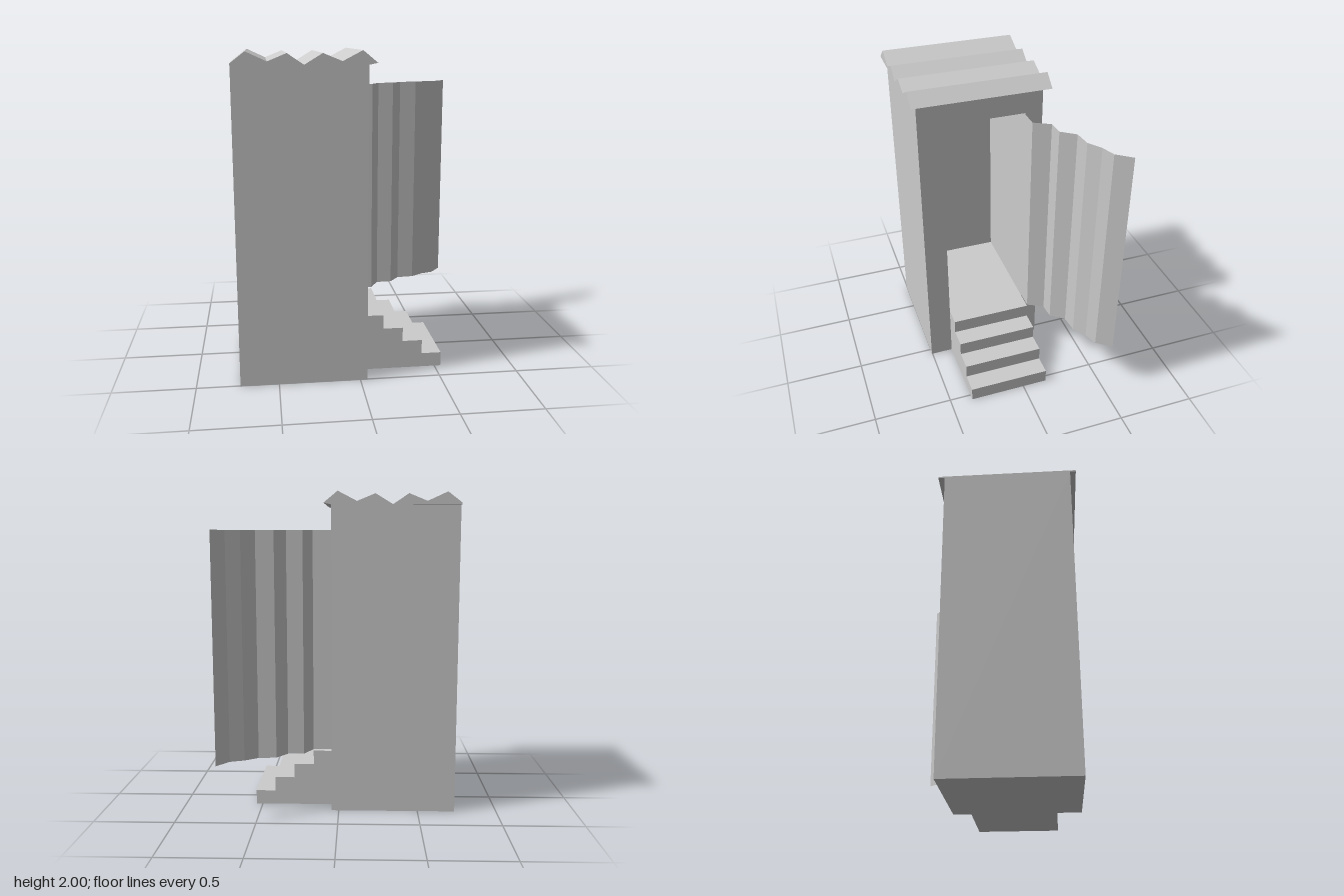
import * as THREE from 'three';

const material = new THREE.MeshStandardMaterial({ color: 0xcccccc, flatShading: true });
const sheetMaterial = new THREE.MeshStandardMaterial({ color: 0xcccccc, flatShading: true, side: THREE.DoubleSide });

function shapeFrom(points) {
  return new THREE.Shape(points.map(([x, y]) => new THREE.Vector2(x, y)));
}

function rect(a0, y0, a1, y1) {
  return [[a0, y0], [a1, y0], [a1, y1], [a0, y1]];
}

function extrude(shape, depth) {
  return new THREE.ExtrudeGeometry(shape, { depth, bevelEnabled: false });
}

export function createModel() {
  const group = new THREE.Group();
  const add = (name, geometry, mat = material) => {
    const mesh = new THREE.Mesh(geometry, mat);
    mesh.name = name;
    group.add(mesh);
    return mesh;
  };

  const left = -0.735, right = 0.045, back = -0.27, front = 0.505, top = 1.92;
  const doorBack = -0.16, doorFront = 0.36, sill = 0.36, lintel = 1.775, wall = 0.11;

  // Hollow cabin: outline with doorway, drawn in the z-y plane and extruded along +x
  const outline = shapeFrom(rect(-front, 0, -back, top));
  outline.holes.push(shapeFrom(rect(-doorFront, sill, -doorBack, lintel)));
  const cabin = extrude(outline, right - left - wall);
  cabin.rotateY(Math.PI / 2).translate(left + wall, 0, 0);
  add('cabin', cabin);

  // Wall closing the side opposite the doorway
  const rear = new THREE.BoxGeometry(wall, top, front - back);
  rear.translate(left + wall / 2, top / 2, (front + back) / 2);
  add('rearWall', rear);

  // Steps up to the doorway
  const profile = [[right, 0]];
  for (let i = 0; i < 4; i++) {
    const x = 0.54 - i * 0.125;
    profile.push([x, i * 0.09], [x, (i + 1) * 0.09]);
  }
  profile.push([right, sill]);
  add('steps', extrude(shapeFrom(profile), doorFront - doorBack).translate(0, 0, doorBack));

  // Zigzag roof
  const roof = [
    [-0.735, 1.92], [0.045, 1.92], [0.09, 1.93], [0.005, 2], [-0.11, 1.94], [-0.22, 1.985],
    [-0.325, 1.921], [-0.42, 1.985], [-0.53, 1.94], [-0.65, 1.995], [-0.735, 1.93],
  ];
  add('roof', extrude(shapeFrom(roof), 0.85).translate(0, 0, -0.31));

  // Thin folding door, pleated open
  const folds = [
    [0.045, -0.158], [0.165, -0.16], [0.22, -0.26], [0.32, -0.265], [0.385, -0.35],
    [0.495, -0.36], [0.575, -0.415], [0.66, -0.445], [0.73, -0.535],
  ];
  const door = new THREE.PlaneGeometry(1, 1.4, folds.length - 1, 1).translate(0, 1.07, 0);
  const pos = door.attributes.position;
  for (let i = 0; i < pos.count; i++) {
    const [x, z] = folds[i % folds.length];
    pos.setX(i, x);
    pos.setZ(i, z);
  }
  door.computeVertexNormals();
  add('foldingDoor', door, sheetMaterial);

  return group;
}
